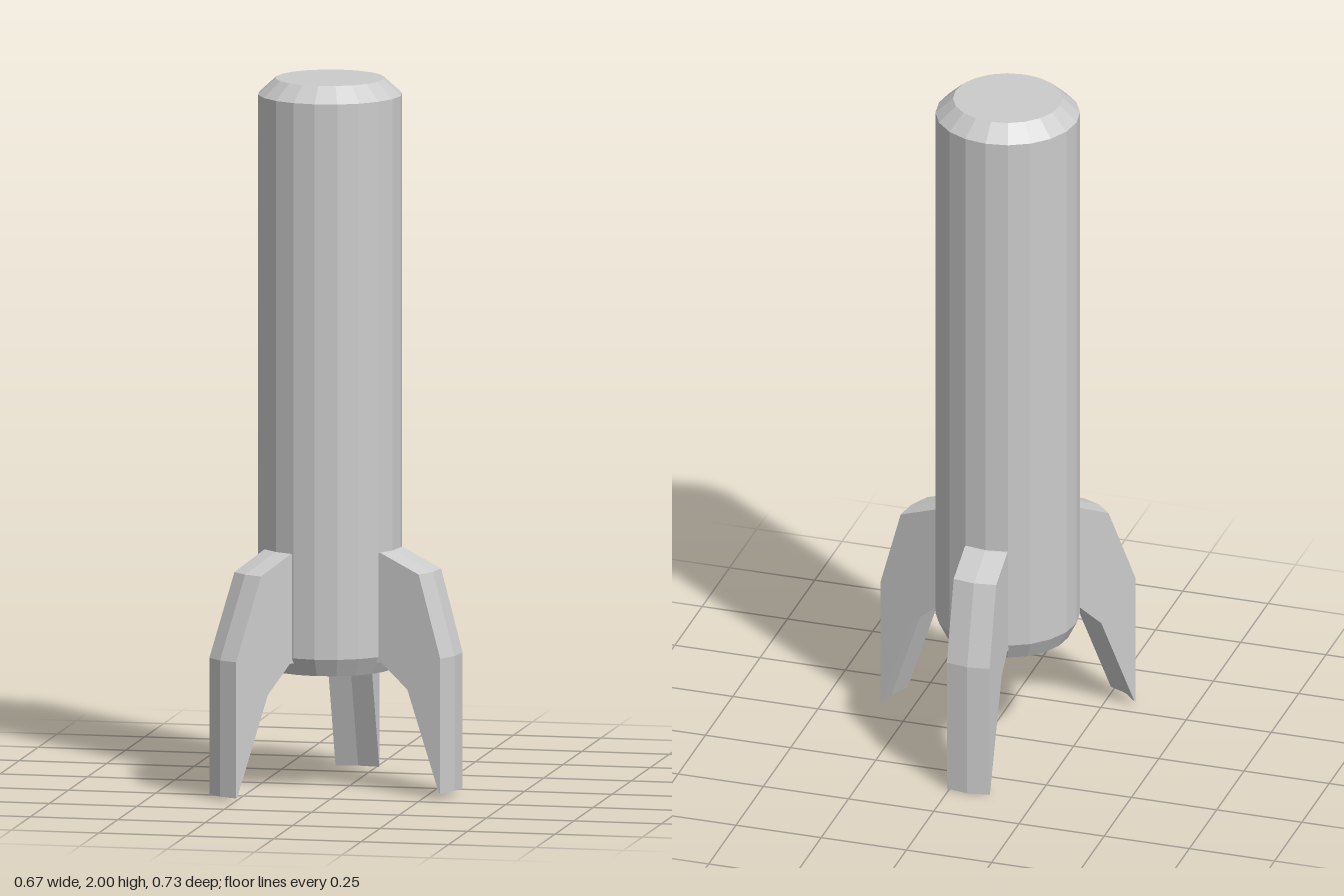
import * as THREE from 'three';

const material = new THREE.MeshStandardMaterial({ color: 0xcccccc, flatShading: true });

// Fin: side profile (x = distance from the body axis) with a shallow ridge down its middle
function makeFin({ angle, width, shoulder, reach, elbow, foot }) {
  const profile = [
    [0.16, 0.68], [0.197, 0.68], [shoulder, 0.628], [reach, 0.395],
    [reach, foot], [reach - 0.004, foot], elbow, [0.2, 0.37], [0.16, 0.37],
  ].map(([x, y]) => new THREE.Vector2(x, y));
  const geometry = new THREE.ExtrudeGeometry(new THREE.Shape(profile), {
    depth: width, steps: 2, bevelEnabled: false,
  });
  geometry.translate(0, 0, -width / 2);
  const pos = geometry.attributes.position;
  for (let i = 0; i < pos.count; i++) {
    if (Math.abs(pos.getZ(i)) < 1e-4) pos.setX(i, pos.getX(i) + 0.01);
  }
  geometry.computeVertexNormals();
  const fin = new THREE.Mesh(geometry, material);
  fin.rotation.y = -THREE.MathUtils.degToRad(angle);
  return fin;
}

export function createModel() {
  const model = new THREE.Group();
  model.name = 'finnedTube';
  model.position.set(-0.055, 0, 0.006);

  // Twenty-sided body, chamfered at both ends
  const outline = [[0, 0.335], [0.177, 0.335], [0.202, 0.385], [0.202, 1.955], [0.153, 2], [0, 2]];
  const body = new THREE.Mesh(
    new THREE.LatheGeometry(outline.map(([r, y]) => new THREE.Vector2(r, y)), 20), material);
  body.name = 'body';
  model.add(body);

  // Three swept fins that the body stands on
  const fins = {
    backFin: { angle: 270, width: 0.125, shoulder: 0.3, reach: 0.362, elbow: [0.25, 0.32], foot: 0 },
    leftFin: { angle: 16.8, width: 0.129, shoulder: 0.319, reach: 0.388, elbow: [0.283, 0.3], foot: 0.014 },
    rightFin: { angle: 126, width: 0.112, shoulder: 0.308, reach: 0.402, elbow: [0.283, 0.29], foot: 0.01 },
  };
  for (const [name, spec] of Object.entries(fins)) {
    const fin = makeFin(spec);
    fin.name = name;
    model.add(fin);
  }

  const root = new THREE.Group();
  root.add(model);
  return root;
}
